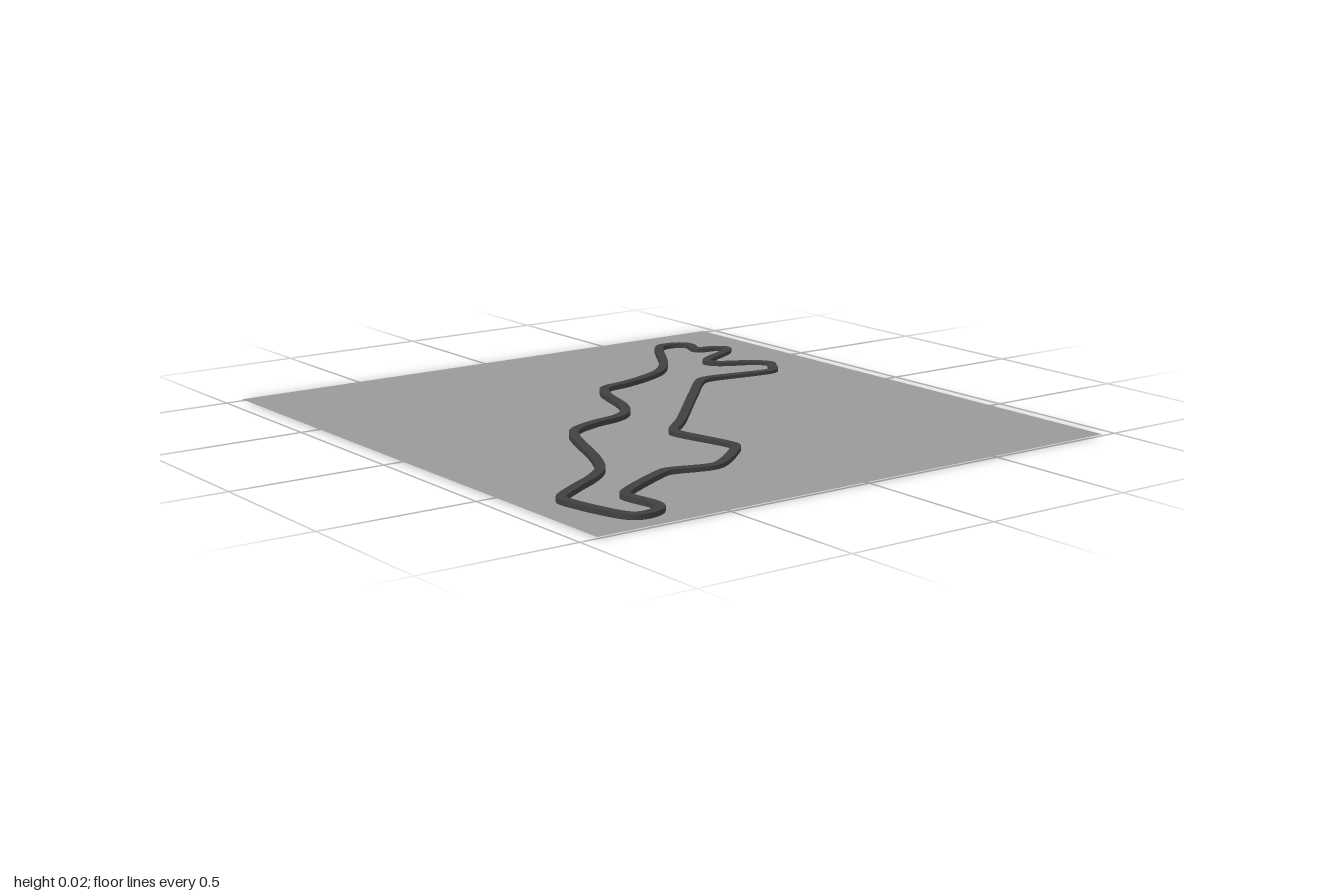
import * as THREE from 'three';
import { toCreasedNormals } from 'three/addons/utils/BufferGeometryUtils.js';

// Centre line of the circuit as x, z pairs
const LINE = [
  -.83, -.66, -.82, -.70, -.79, -.72, -.72, -.70, -.71, -.71, -.70, -.765, -.675, -.795, -.64, -.775,
  -.555, -.625, -.525, -.60, -.49, -.62, -.43, -.735, -.385, -.765, -.35, -.745, -.30, -.71, -.29, -.68,
  -.315, -.44, -.305, -.405, -.15, -.25, .12, .005, .215, .105, .24, .11, .435, .065, .47, .065,
  .51, .10, .615, .24, .62, .28, .59, .41, .60, .44, .715, .645, .74, .665, .86, .65,
  .90, .665, .925, .715, .92, .76, .89, .785, .685, .835, .66, .825, .59, .725, .535, .635,
  .47, .56, .365, .50, .085, .385, .035, .34, -.005, .245, -.03, .14, -.07, .08, -.145, .035,
  -.33, -.025, -.385, -.07, -.41, -.17, -.455, -.295, -.5, -.375, -.585, -.455, -.80, -.595, -.825, -.625,
];
const GROUND_Y = 0.005;
const HALF_WIDTH = 0.015;
const THICKNESS = 0.016;

// Underside of the road: a very slight tilt across the site
const roadBase = (x, z) => Math.max(0, GROUND_Y + 0.009 * (z - 0.73 * x - 0.07));

// Closed strip with a rectangular cross-section swept along the curve
function roadGeometry(curve, steps) {
  const positions = [], index = [];
  const corners = [[-1, 0], [1, 0], [1, 1], [-1, 1]];
  for (let i = 0; i < steps; i++) {
    const p = curve.getPointAt(i / steps);
    const t = curve.getTangentAt(i / steps);
    for (const [side, up] of corners) {
      const x = p.x - t.z * side * HALF_WIDTH;
      const z = p.z + t.x * side * HALF_WIDTH;
      positions.push(x, roadBase(x, z) + up * THICKNESS, z);
    }
    const a = i * 4, b = ((i + 1) % steps) * 4;
    for (let k = 0; k < 4; k++) {
      const m = (k + 1) % 4;
      index.push(a + k, b + k, a + m, a + m, b + k, b + m);
    }
  }
  const geometry = new THREE.BufferGeometry();
  geometry.setAttribute('position', new THREE.Float32BufferAttribute(positions, 3));
  geometry.setIndex(index);
  return toCreasedNormals(geometry, 0.7);
}

export function createModel() {
  const group = new THREE.Group();
  group.name = 'raceCircuit';

  // Flat ground sheet
  const ground = new THREE.Mesh(
    new THREE.PlaneGeometry(2, 1.89).rotateX(-Math.PI / 2),
    new THREE.MeshStandardMaterial({ color: 0x999999, side: THREE.DoubleSide })
  );
  ground.name = 'ground';
  ground.position.y = GROUND_Y;
  group.add(ground);

  // Road loop
  const points = [];
  for (let i = 0; i < LINE.length; i += 2) points.push(new THREE.Vector3(LINE[i], 0, LINE[i + 1]));
  const curve = new THREE.CatmullRomCurve3(points, true, 'centripetal');
  curve.arcLengthDivisions = 1500;
  const road = new THREE.Mesh(
    roadGeometry(curve, 500),
    new THREE.MeshStandardMaterial({ color: 0x404040 })
  );
  road.name = 'road';
  group.add(road);

  return group;
}
